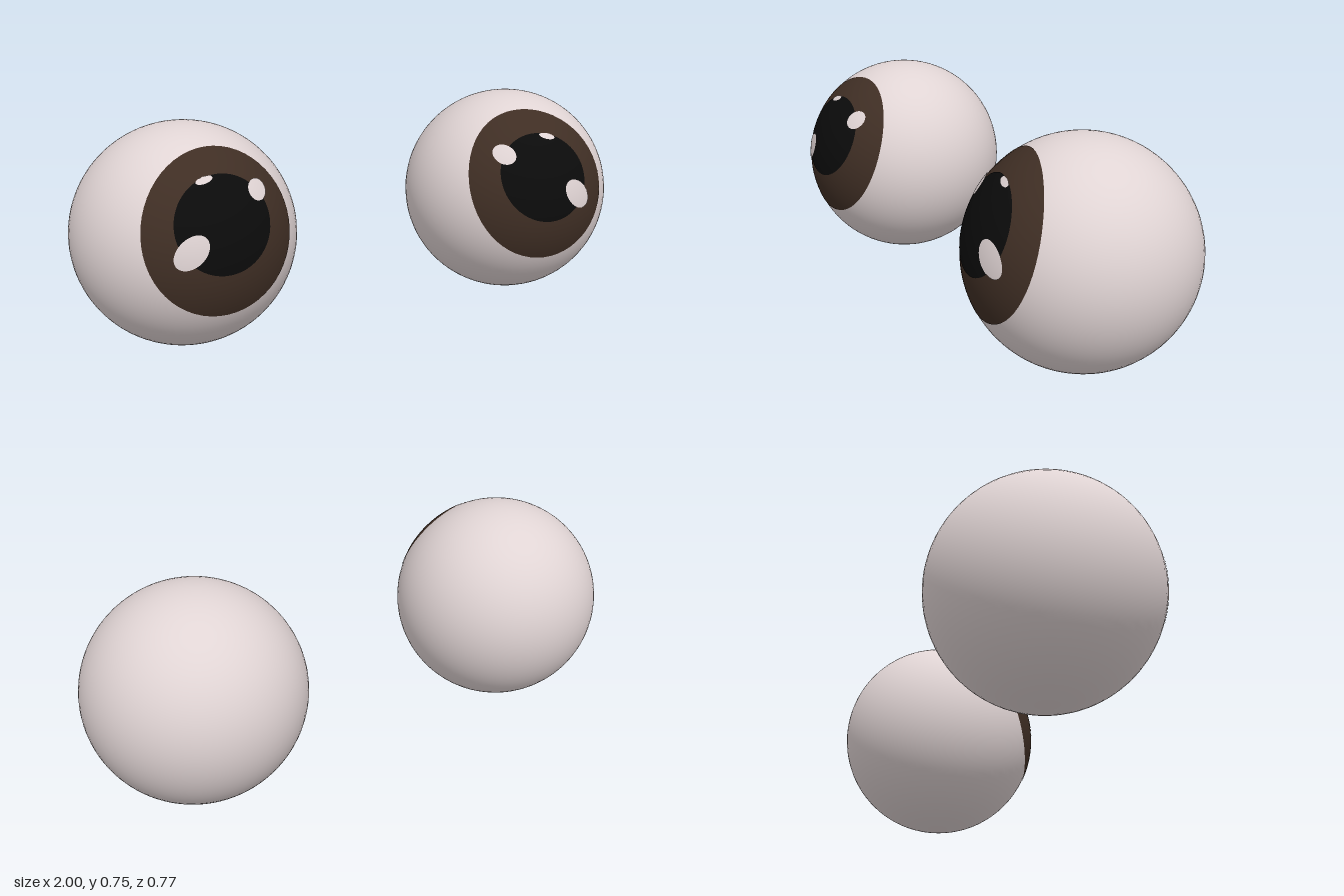
import * as THREE from 'three';

const R = 0.373;
const material = (name, color) => {
  const m = new THREE.MeshStandardMaterial({ color });
  m.name = name;
  return m;
};

// Thin elliptical patch, given in front projection, wrapped onto the ball
function patch(name, mat, x, y, rx, ry, angle, lift) {
  const g = new THREE.RingGeometry(0, 1, 56, 14);
  const p = g.attributes.position, n = g.attributes.normal;
  const v = new THREE.Vector3(), c = Math.cos(angle), s = Math.sin(angle);
  for (let i = 0; i < p.count; i++) {
    const u = p.getX(i) * rx, w = p.getY(i) * ry;
    const px = x + u * c - w * s, py = y + u * s + w * c;
    v.set(px, py, Math.sqrt(Math.max(0, R * R - px * px - py * py))).normalize();
    n.setXYZ(i, v.x, v.y, v.z);
    v.multiplyScalar(R + lift);
    p.setXYZ(i, v.x, v.y, v.z);
  }
  const mesh = new THREE.Mesh(g, mat);
  mesh.name = name;
  return mesh;
}

export function createModel() {
  const white = material('eyeWhite', 0xe0d4d4);
  const brown = material('irisBrown', 0x3f2e24);
  const black = material('pupilBlack', 0x0b0b0b);

  const model = new THREE.Group();
  model.name = 'eyes';

  // side: +1 is the model's left eye, -1 its right eye
  function eye(name, side, cx, cy, cz, irisX, pupilX) {
    const group = new THREE.Group();
    group.name = name;
    group.position.set(cx, cy, cz);
    const ball = new THREE.Mesh(new THREE.SphereGeometry(R, 72, 48), white);
    ball.name = 'eyeball';
    group.add(ball);

    // Positions below are world x and y, made relative to the ball
    const add = (part, mat, x, y, rx, ry, angle, lift) =>
      group.add(patch(part, mat, x * side - cx, y - cy, rx, ry, angle * side, lift));
    add('iris', brown, irisX, 0.461, 0.247, 0.251, 0, 0.0015);
    add('pupil', black, pupilX, 0.501, 0.156, 0.145, 0, 0.003);
    add('largeHighlight', white, side > 0 ? 0.688 : 0.715, 0.44, 0.062, 0.041, -0.75, 0.0045);
    add('smallHighlight', white, side > 0 ? 0.45 : 0.474, 0.583, 0.034, 0.029, 0.5, 0.0045);
    add('topHighlight', white, side > 0 ? 0.613 : 0.642, 0.634, 0.028, 0.009, -0.2, 0.0045);
    model.add(group);
  }

  eye('leftEye', 1, 0.627, 0.375, 0.01, 0.583, 0.576);
  eye('rightEye', -1, -0.627, 0.383, -0.011, 0.602, 0.602);
  return model;
}
